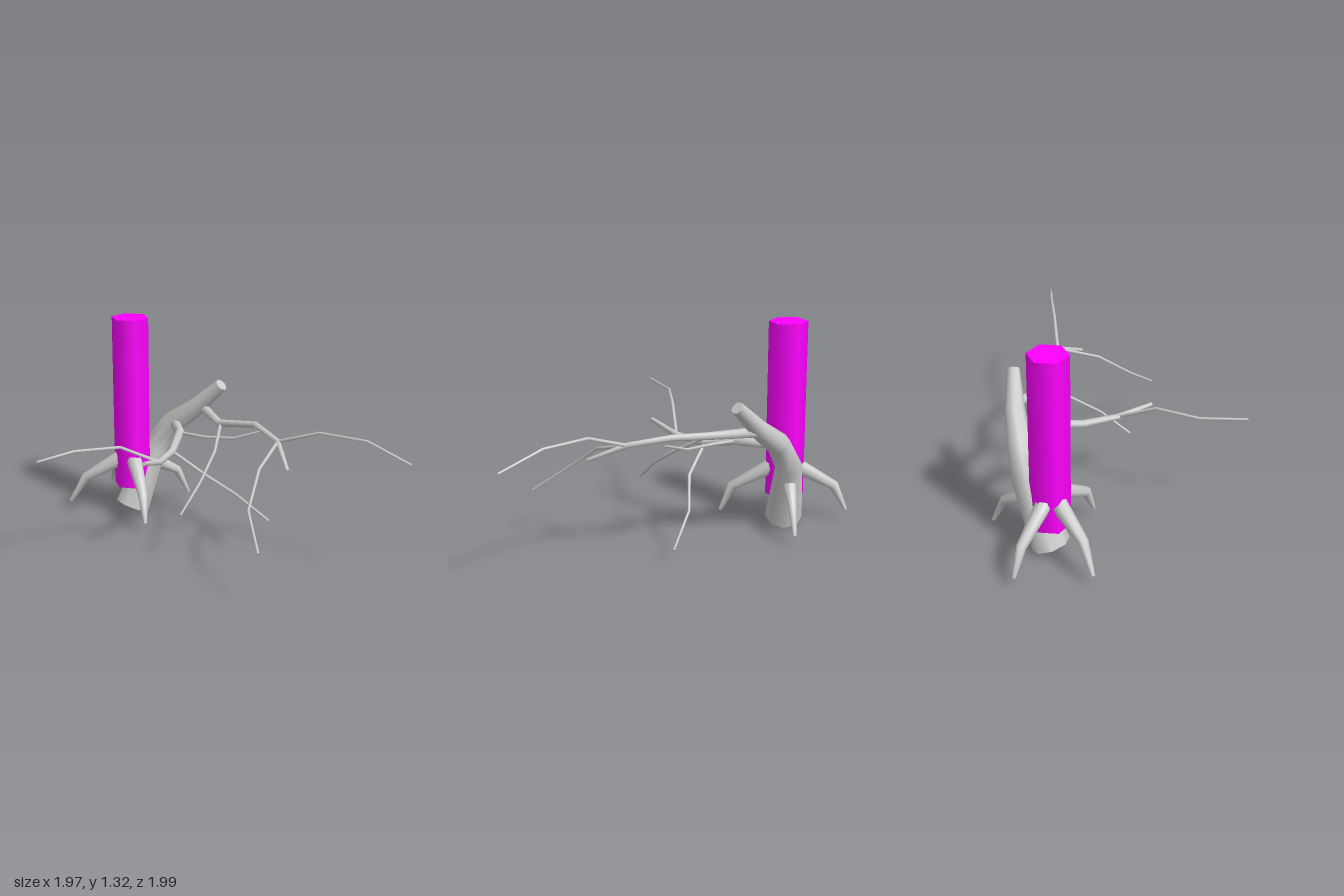
import * as THREE from 'three';

const grey = new THREE.MeshStandardMaterial({ color: 0xcccccc });
const magenta = new THREE.MeshStandardMaterial({ color: 0xff00ff });

// Tapered limb with mitred joints; each node is [x, y, z, radius]
function limb(name, nodes, sides) {
  const pts = nodes.map(n => new THREE.Vector3(n[0], n[1], n[2]));
  const last = pts.length - 1;
  const dirs = pts.slice(1).map((p, i) => p.clone().sub(pts[i]).normalize());
  const pos = [], index = [];
  const u = new THREE.Vector3(1, 0, 0);
  if (Math.abs(dirs[0].x) > 0.8) u.set(0, 0, 1);
  pts.forEach((p, i) => {
    const t = dirs[Math.max(i - 1, 0)].clone().add(dirs[Math.min(i, last - 1)]).normalize();
    u.addScaledVector(t, -u.dot(t)).normalize();
    const v = t.clone().cross(u);
    for (let k = 0; k < sides; k++) {
      const a = k / sides * Math.PI * 2;
      const q = p.clone()
        .addScaledVector(u, Math.cos(a) * nodes[i][3])
        .addScaledVector(v, Math.sin(a) * nodes[i][3]);
      pos.push(q.x, q.y, q.z);
    }
  });
  for (let i = 0; i < last; i++) {
    for (let k = 0; k < sides; k++) {
      const a = i * sides + k, b = i * sides + (k + 1) % sides;
      index.push(a, b, b + sides, a, b + sides, a + sides);
    }
  }
  // end caps get their own vertices so their rims stay sharp
  for (const end of [0, last]) {
    const base = pos.length / 3;
    pos.push(...pos.slice(end * sides * 3, (end + 1) * sides * 3));
    for (let k = 1; k < sides - 1; k++) {
      if (end) index.push(base, base + k, base + k + 1);
      else index.push(base, base + k + 1, base + k);
    }
  }
  const geo = new THREE.BufferGeometry();
  geo.setAttribute('position', new THREE.Float32BufferAttribute(pos, 3));
  geo.setIndex(index);
  geo.computeVertexNormals();
  const mesh = new THREE.Mesh(geo, grey);
  mesh.name = name;
  return mesh;
}

export function createModel() {
  const model = new THREE.Group();
  model.name = 'leaningTree';

  // hexagonal column
  const column = new THREE.Mesh(new THREE.CylinderGeometry(0.12, 0.12, 1.12, 6), magenta);
  column.position.set(-0.22, 0.76, -0.585);
  column.name = 'column';
  model.add(column);

  // leaning trunk
  model.add(limb('trunk', [
    [-0.22, 0.045, -0.585, 0.118], [-0.06, 0.44, -0.6, 0.085], [0.04, 0.615, -0.53, 0.075],
    [0.17, 0.745, -0.41, 0.06], [0.29, 0.92, -0.273, 0.04]], 8));

  // roots
  const roots = [
    ['rightRoot', [[-0.28, 0.385, -0.6, 0.055], [-0.515, 0.245, -0.665, 0.032], [-0.615, 0.072, -0.705, 0.012]]],
    ['frontRoot', [[-0.225, 0.39, -0.52, 0.053], [-0.235, 0.24, -0.255, 0.032], [-0.24, 0.075, -0.178, 0.012]]],
    ['backRoot', [[-0.23, 0.39, -0.645, 0.053], [-0.26, 0.24, -0.905, 0.032], [-0.265, 0.075, -0.985, 0.012]]],
    ['leftRoot', [[-0.09, 0.35, -0.6, 0.05], [0.1, 0.245, -0.62, 0.028], [0.18, 0.075, -0.635, 0.012]]]
  ];
  for (const [name, nodes] of roots) model.add(limb(name, nodes, 8));

  // main branches
  model.add(limb('lowerBranch', [
    [0.05, 0.62, -0.52, 0.036], [0.02, 0.63, -0.28, 0.029], [-0.09, 0.577, -0.08, 0.024],
    [-0.22, 0.585, 0.1, 0.02], [-0.355, 0.645, 0.265, 0.013]], 7));
  model.add(limb('upperBranch', [
    [0.2, 0.745, -0.4, 0.034], [0.225, 0.725, -0.11, 0.024], [0.385, 0.765, 0.1, 0.02],
    [0.435, 0.735, 0.355, 0.017], [0.412, 0.635, 0.585, 0.011]], 7));

  // thin twigs
  const twigs = [
    [[-0.22, 0.585, 0.1], [-0.465, 0.715, 0.135], [-0.745, 0.73, 0.17], [-0.985, 0.74, 0.315]],
    [[-0.09, 0.58, -0.08], [0.1, 0.435, 0.01], [0.3, 0.283, 0.005], [0.495, 0.112, 0.087]],
    [[0.03, 0.63, -0.25], [0.135, 0.64, -0.11], [0.28, 0.66, 0.015], [0.44, 0.735, 0.135]],
    [[0.23, 0.725, -0.1], [0.135, 0.61, 0.08], [0, 0.48, 0.225], [-0.155, 0.325, 0.33]],
    [[0.435, 0.735, 0.355], [0.25, 0.65, 0.55], [0.12, 0.485, 0.74], [0.1, 0.325, 0.97]],
    [[0.435, 0.735, 0.355], [0.615, 0.835, 0.555], [0.81, 0.838, 0.775], [0.978, 0.755, 0.99]]
  ];
  twigs.forEach((path, n) => {
    const nodes = path.map((p, i) => [...p, 0.011 - i * 0.0013]);
    model.add(limb('twig' + (n + 1), nodes, 6));
  });
  return model;
}
